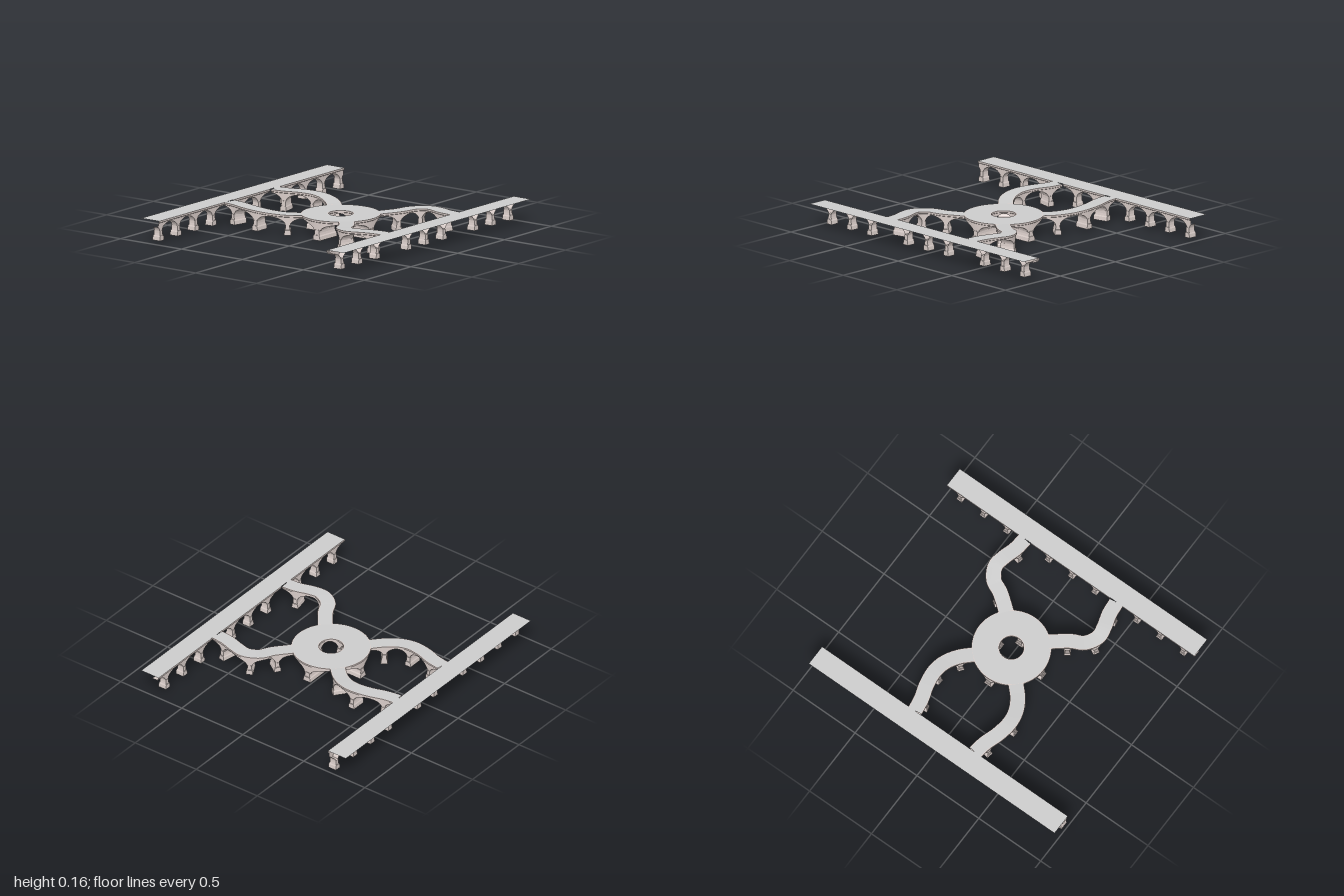
import * as THREE from 'three';
import { toCreasedNormals } from 'three/addons/utils/BufferGeometryUtils.js';

const stone = new THREE.MeshStandardMaterial({ color: 0xd9cdc9, side: THREE.DoubleSide });
const paving = new THREE.MeshStandardMaterial({ color: 0xcccccc, side: THREE.DoubleSide });

const CROWN = 0.022, SPRING = 0.07, BASE = 0.134, LIP = 0.007;

// Skin a surface through successive cross-sections (arrays of Vector3)
function skin(name, rows, material) {
  const pos = [];
  for (let i = 0; i + 1 < rows.length; i++) {
    for (let j = 0; j + 1 < rows[i].length; j++) {
      const a = rows[i][j], b = rows[i][j + 1], c = rows[i + 1][j + 1], d = rows[i + 1][j];
      for (const v of [a, b, c, a, c, d]) pos.push(v.x, v.y, v.z);
    }
  }
  const g = new THREE.BufferGeometry();
  g.setAttribute('position', new THREE.Float32BufferAttribute(pos, 3));
  const mesh = new THREE.Mesh(toCreasedNormals(g, 0.5), material);
  mesh.name = name;
  return mesh;
}

// Drop of the arch underside below the deck at distance s along the path
function archDrop(s, piers, neck) {
  const before = piers.filter((p) => p <= s).pop();
  const after = piers.find((p) => p > s);
  const d = Math.min(before === undefined ? 9 : s - before, after === undefined ? 9 : after - s);
  const half = before === undefined || after === undefined ? 0.095 : (after - before) / 2;
  const t = THREE.MathUtils.clamp((d - neck) / (half - neck), 0, 1);
  return CROWN + (SPRING - CROWN) * (1 - Math.sqrt(1 - (1 - t) ** 2));
}

// Pier: narrow shaft with a flared foot, long side across the deck
function makePier(frame, from, to, size) {
  const group = new THREE.Group();
  group.name = 'pier';
  const addPart = (name, profile, extra) => {
    const pts = profile.map(([x, y]) => new THREE.Vector2(x * size, y));
    const mirrored = pts.map((p) => new THREE.Vector2(-p.x, p.y)).reverse();
    const g = new THREE.ExtrudeGeometry(new THREE.Shape([...pts, ...mirrored]),
      { depth: to - from + extra * 2, bevelEnabled: false });
    g.translate(0, 0, from - extra);
    const mesh = new THREE.Mesh(g, stone);
    mesh.name = name;
    group.add(mesh);
  };
  addPart('pierShaft', [[0.016, -0.1], [0.0135, -0.085], [0.013, -SPRING + 0.004]], 0.003);
  addPart('pierFoot', [[0.022, -BASE], [0.0195, -0.108], [0.016, -0.1]], 0.008);
  group.position.copy(frame.p);
  group.rotation.y = Math.atan2(frame.n.x, frame.n.z);
  return group;
}

// Arched viaduct along a path: at(s) gives centre p and sideways direction n.
// The deck spans from..to along n; openBack leaves the "to" side without wall.
function viaduct(name, { at, start, end, piers, from, to, steps = 64, size = 1, openBack = false, deck = true }) {
  const group = new THREE.Group();
  group.name = name;
  const soffit = [], wallA = [], wallB = [], top = [];
  // Extra stations beside each pier keep the arch springing crisp
  const neck = 0.013 * size;
  const stations = Array.from({ length: steps + 1 }, (_, i) => start + (end - start) * i / steps);
  for (const p of piers) stations.push(p - neck, p + neck, p - neck - 0.002, p + neck + 0.002);
  stations.sort((a, b) => a - b);
  for (const s of stations.filter((v) => v >= start && v <= end)) {
    const { p, n } = at(s);
    const pt = (x, drop) => p.clone().addScaledVector(n, x).add(new THREE.Vector3(0, -drop, 0));
    const drop = archDrop(s, piers, neck);
    // Wall with a small projecting cornice
    const wall = (x, out) => [pt(x, drop), pt(x, 0.016), pt(x + out * LIP, 0.012),
      pt(x + out * LIP, 0), pt(x, 0)];
    soffit.push([pt(from, drop), pt(to, drop)]);
    wallA.push(wall(from, -1));
    wallB.push(wall(to, 1));
    top.push([pt(from, 0), pt(to, 0)]);
  }
  group.add(skin('archUnderside', soffit, stone), skin('sideWall', wallA, stone));
  if (!openBack) group.add(skin('sideWall', wallB, stone));
  if (deck) group.add(skin('deck', top, paving));
  for (const s of piers) group.add(makePier(at(s), from, to, size));
  return group;
}

// Curved arm through [x, y, z] points with piers at given x positions
function arm(name, points, pierX) {
  const curve = new THREE.CatmullRomCurve3(points.map((p) => new THREE.Vector3(...p)), false, 'centripetal');
  const length = curve.getLength();
  const at = (s) => {
    const u = THREE.MathUtils.clamp(s / length, 0, 1);
    const t = curve.getTangentAt(u);
    return { p: curve.getPointAt(u), n: new THREE.Vector3(-t.z, 0, t.x).normalize() };
  };
  const nearest = (x) => {
    let best = 0, gap = 9;
    for (let i = 0; i <= 300; i++) {
      const d = Math.abs(at(length * i / 300).p.x - x);
      if (d < gap) { gap = d; best = length * i / 300; }
    }
    return best;
  };
  const piers = pierX.map(nearest).sort((a, b) => a - b);
  return viaduct(name, { at, start: 0, end: length, piers, from: -0.044, to: 0.044, size: 1.05 });
}

export function createModel() {
  const model = new THREE.Group();
  model.name = 'viaductJunction';

  // Long straight platforms with arcades along their inner edges
  const platforms = [
    { side: -1, name: 'rightPlatform', outer: 0.838, runs: [
      [-0.99, -0.29, [-0.962, -0.775, -0.588, -0.4]],
      [-0.195, 0.195, [-0.088, 0.088]],
      [0.29, 0.99, [0.4, 0.588, 0.775, 0.962]]] },
    { side: 1, name: 'leftPlatform', outer: 0.833, runs: [
      [-1, -0.418, [-0.9, -0.713, -0.525]],
      [-0.32, 0.32, [-0.188, 0, 0.188]],
      [0.418, 1, [0.525, 0.713, 0.9]]] },
  ];
  for (const { side, name, outer, runs } of platforms) {
    const group = new THREE.Group();
    group.name = name;
    const zEnd = side < 0 ? 0.993 : 1;
    const slab = new THREE.Mesh(new THREE.PlaneGeometry(outer - 0.692, zEnd * 2), paving);
    slab.name = 'platformDeck';
    slab.rotation.x = -Math.PI / 2;
    slab.position.set(side * (outer + 0.692) / 2, 0.161, 0);
    group.add(slab);
    const at = (z) => ({ p: new THREE.Vector3(side * 0.698, 0.1605, z), n: new THREE.Vector3(side, 0, 0) });
    for (const [start, end, piers] of runs) {
      group.add(viaduct('arcade', { at, start, end, piers, from: 0, to: 0.044, openBack: true, deck: false }));
    }
    model.add(group);
  }

  // Curved arms, mirrored front to back
  for (const m of [-1, 1]) {
    const end = m < 0 ? 'back' : 'front';
    model.add(arm(end + 'RightArm', [
      [-0.692, 0.16, m * 0.243], [-0.6, 0.16, m * 0.258], [-0.5, 0.16, m * 0.289], [-0.39, 0.157, m * 0.303],
      [-0.3, 0.15, m * 0.286], [-0.215, 0.142, m * 0.238], [-0.14, 0.1365, m * 0.167],
    ], [-0.605, -0.395, -0.215]));
    model.add(arm(end + 'LeftArm', [
      [0.692, 0.16, m * 0.37], [0.6, 0.16, m * 0.38], [0.51, 0.16, m * 0.406], [0.43, 0.156, m * 0.416],
      [0.347, 0.15, m * 0.368], [0.303, 0.144, m * 0.284], [0.215, 0.1365, m * 0.167],
    ], [0.6, 0.392, 0.292]));
  }

  // Round central hub with an open well and four radial piers
  const R = 0.17;
  const atHub = (s) => {
    const n = new THREE.Vector3(Math.cos(s / R), 0, Math.sin(s / R));
    return { p: new THREE.Vector3(0.04, 0.137, 0).addScaledVector(n, R), n };
  };
  const quarter = R * Math.PI / 2;
  const hub = viaduct('centralHub', {
    at: atHub, start: -quarter / 2, end: quarter * 3.5, piers: [0, 1, 2, 3].map((i) => i * quarter),
    from: -0.083, to: 0.084, steps: 96, size: 1.35,
  });
  model.add(hub);

  // Stand the lowest pier feet on the ground
  const box = new THREE.Box3().setFromObject(model);
  model.position.y = -box.min.y;
  return model;
}
